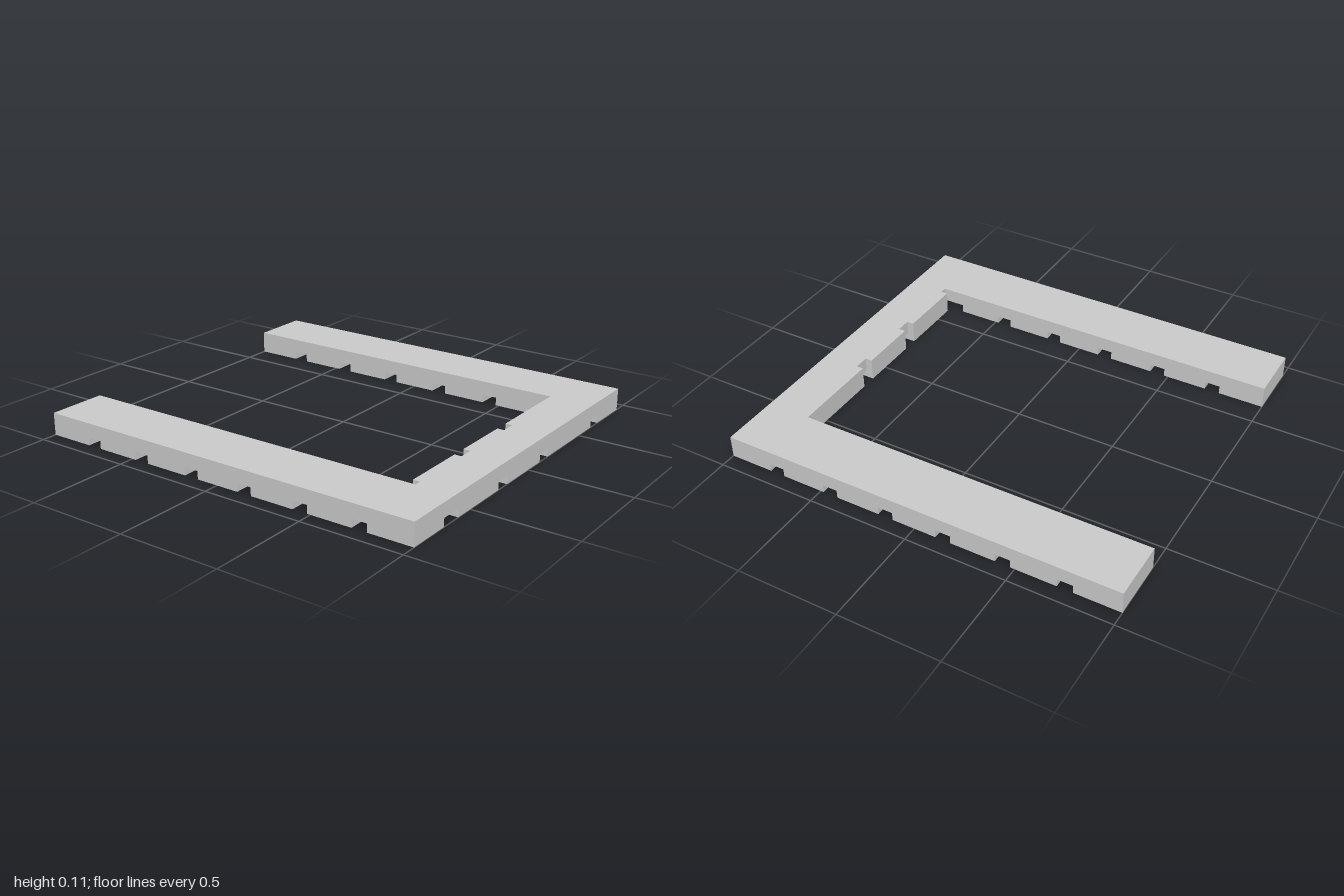
import * as THREE from 'three';

const HEIGHT = 0.11, NOTCH = 0.04, HALF = 0.925, INNER = 0.63;
const material = new THREE.MeshStandardMaterial({ color: 0xcccccc, flatShading: true });

// Bar from a to b with notches [start, end] cut in its underside, extruded by depth
function notchedBar(a, b, notches, depth) {
  const points = [[a, 0]];
  let last = a;
  for (const [s, e] of notches) {
    points.push([s, 0], [s, NOTCH], [e, NOTCH]);
    if (e < b) points.push([e, 0]);
    last = e;
  }
  if (last < b) points.push([b, 0]);
  points.push([b, HEIGHT], [a, HEIGHT]);
  const shape = new THREE.Shape(points.map(([x, y]) => new THREE.Vector2(x, y)));
  return new THREE.ExtrudeGeometry(shape, { depth, bevelEnabled: false });
}

export function createModel() {
  const group = new THREE.Group();
  const add = (name, geometry, x, z) => {
    const mesh = new THREE.Mesh(geometry, material);
    mesh.name = name;
    mesh.position.set(x, 0, z);
    group.add(mesh);
  };

  // Two long arms with evenly spaced channels across the underside
  const armNotches = [];
  for (let i = 0; i < 6; i++) {
    const s = -0.775 + i * 0.296;
    armNotches.push([s, i === 5 ? 0.78 : s + 0.075]);
  }
  const arm = notchedBar(-1, 0.78, armNotches, HALF - INNER).rotateY(-Math.PI / 2);
  add('leftArm', arm, HALF, 0);
  add('rightArm', arm, -INNER, 0);

  // Front crossbar with channels running front to back
  const corner = [0.627, 0.702];
  const barNotches = [[-0.705, -0.595], [-0.265, -0.19], [0.11, 0.185], corner];
  add('crossbar', notchedBar(-HALF, HALF, barNotches, 0.185), 0, 0.815);

  // Inner strip of the crossbar, broken by upright slots
  const strips = [
    [-HALF, -INNER, [[-0.705, -INNER]]],
    [-0.595, -0.265, []],
    [-0.19, 0.11, []],
    [0.185, HALF, [corner]],
  ];
  strips.forEach(([a, b, notches], i) =>
    add(`crossbarInnerStrip${i + 1}`, notchedBar(a, b, notches, 0.035), 0, 0.78));

  return group;
}
